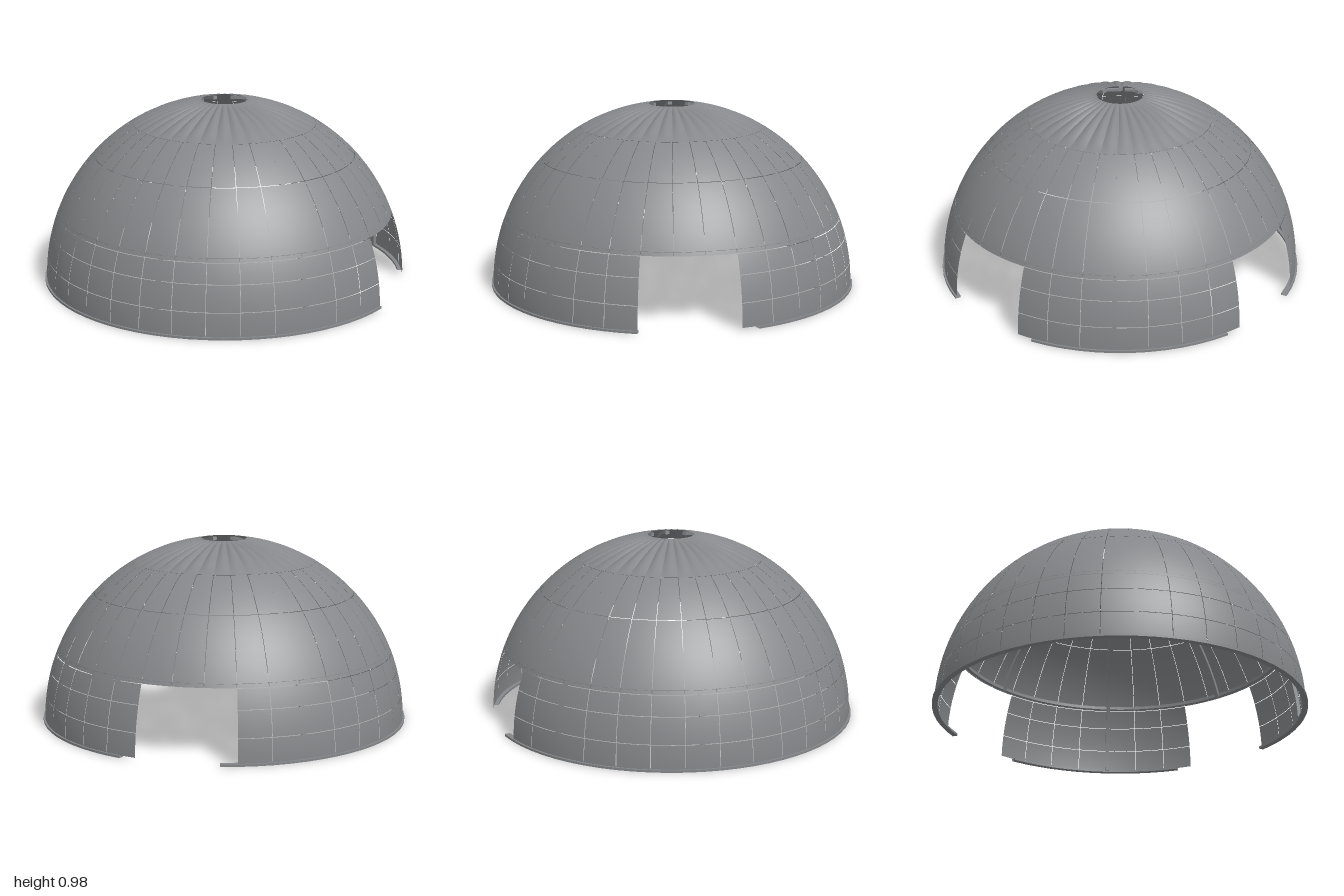
import * as THREE from 'three';
import { mergeGeometries, toCreasedNormals } from 'three/addons/utils/BufferGeometryUtils.js';

const R = 0.99;          // dome radius
const STEP = 10;         // degrees per panel
const GAP = 0.0015;      // half of the open seam between panels
const rad = THREE.MathUtils.degToRad;
const polar = (y) => Math.acos(y / R);

// Doorways in degrees from the front (+z) towards +x
const DOORS = [[30, 60], [130, 160]];
const DOOR_TOP = 0.37;
const inDoor = (a) => DOORS.some(([s, e]) => a > s && a < e);

// Curved patch of the dome between two heights and two bearings
function patch(a0, a1, y0, y1, gap, wSeg, hSeg) {
  const t0 = polar(y1) + gap, t1 = polar(y0) - gap;
  const side = gap / Math.sin(t1);
  return new THREE.SphereGeometry(R, wSeg, hSeg,
    rad(a0 + 90) + side, rad(a1 - a0) - 2 * side, t0, t1 - t0);
}

// Ring of rectangular section, optionally only an arc of it
function ring(rIn, rOut, y0, y1, a0 = 0, a1 = 360) {
  const p = [[rIn, y0], [rOut, y0], [rOut, y1], [rIn, y1], [rIn, y0]]
    .map(([x, y]) => new THREE.Vector2(x, y));
  const seg = Math.max(2, Math.round((a1 - a0) / 5));
  return toCreasedNormals(new THREE.LatheGeometry(p, seg, rad(a0), rad(a1 - a0)), 0.6);
}

// Inner rib following a meridian from a start height up to the crown hole
function rib(bearing, yStart) {
  const rOut = 0.982, rIn = 0.964, width = 0.022;
  const s = Math.asin(yStart / rOut), e = Math.acos(0.125 / rOut);
  const shape = new THREE.Shape();
  shape.absarc(0, 0, rOut, s, e, false);
  shape.absarc(0, 0, rIn, e, s, true);
  const g = new THREE.ExtrudeGeometry(shape, { depth: width, bevelEnabled: false, curveSegments: 24 });
  g.translate(0, 0, -width / 2);
  g.rotateY(rad(bearing - 90));
  return toCreasedNormals(g, 0.6);
}

// One puffed gore of the fluted crown
function gore(a0) {
  const w = 8, h = 12;
  const g = patch(a0, a0 + STEP, 0.857, 0.982, 0, w, h);
  const pos = g.attributes.position, uv = g.attributes.uv;
  const v = new THREE.Vector3();
  for (let i = 0; i < pos.count; i++) {
    const across = Math.sin(Math.PI * uv.getX(i));
    const along = Math.sqrt(Math.max(0, Math.sin(Math.PI * uv.getY(i))));
    v.fromBufferAttribute(pos, i).setLength(R - 0.011 * along * (1 - across));
    pos.setXYZ(i, v.x, v.y, v.z);
  }
  g.computeVertexNormals();
  return g;
}

export function createModel() {
  const model = new THREE.Group();
  model.name = 'dome';
  const grey = new THREE.MeshStandardMaterial({ color: 0x85878a, side: THREE.DoubleSide });
  grey.name = 'grey metal';

  const add = (name, geos) => {
    const mesh = new THREE.Mesh(mergeGeometries(geos), grey);
    mesh.name = name;
    model.add(mesh);
  };

  const bearings = Array.from({ length: 360 / STEP }, (_, i) => i * STEP);

  // Rows of shell panels, left out at the doorways
  const levels = [0.01, 0.135, 0.27, DOOR_TOP, 0.69, 0.857];
  for (let i = 0; i < levels.length - 1; i++) {
    const low = levels[i + 1] <= DOOR_TOP;
    const panels = bearings
      .filter((a) => !(low && inDoor(a + STEP / 2)))
      .map((a) => patch(a, a + STEP, levels[i], levels[i + 1], GAP, 3, low ? 3 : 6));
    add('panelRow' + (i + 1), panels);
  }

  // Fluted crown with an open centre
  add('flutedCrown', bearings.map(gore));

  // Base flange in two arcs
  add('baseFlange', [
    ring(0.97, 1, 0, 0.012, 65, 125),
    ring(0.97, 1, 0, 0.012, 155, 390),
  ]);

  // Inner hoops
  add('lowerHoop', [ring(0.892, 0.91, 0.373, 0.391)]);
  add('upperHoop', [ring(0.585, 0.605, 0.768, 0.782)]);

  // Inner ribs, starting above the doors where they cross one
  const ribs = [];
  for (let a = 0; a < 360; a += 45) ribs.push(rib(a, inDoor(a) ? 0.375 : 0.01));
  add('ribs', ribs);

  return model;
}
